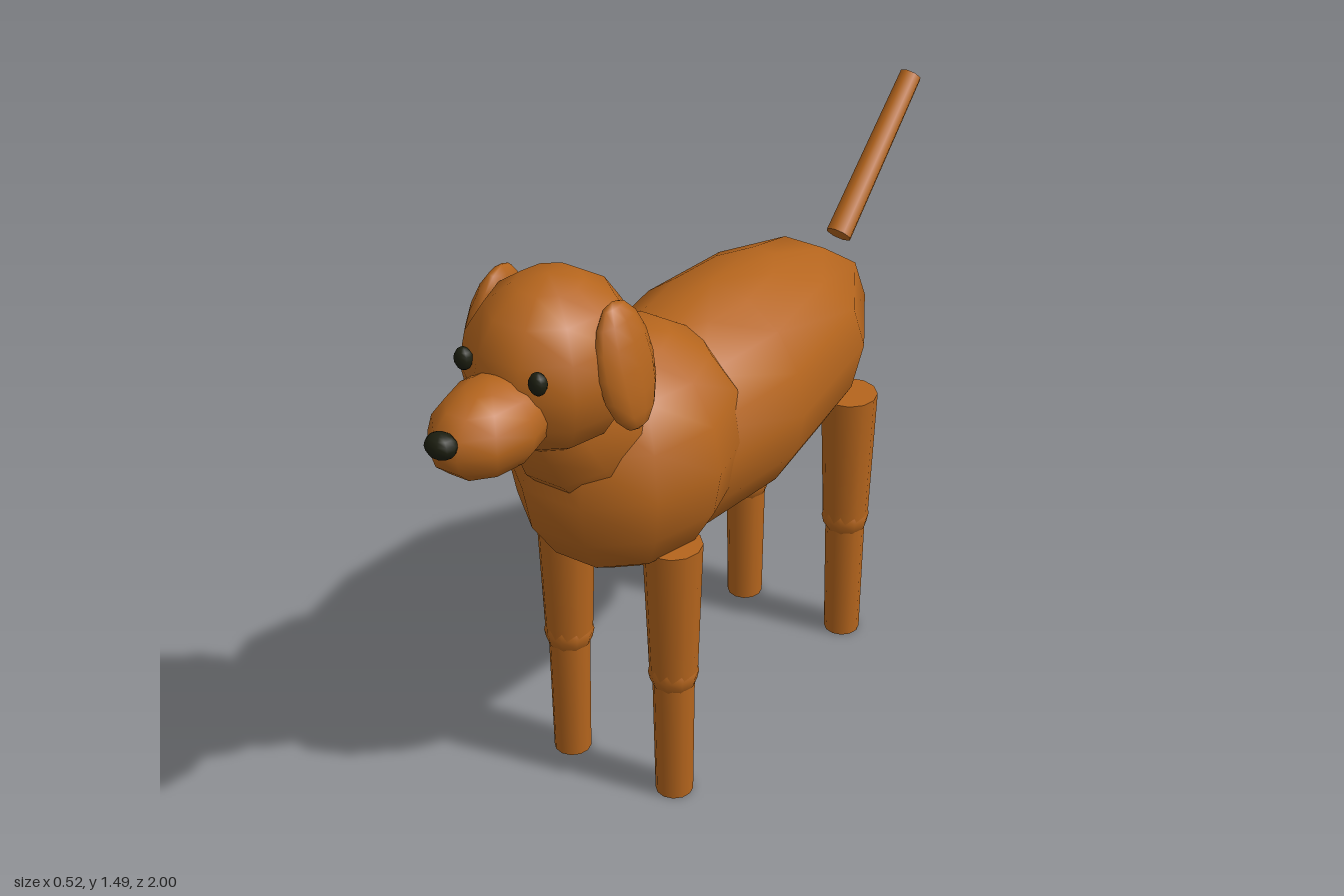
import * as THREE from 'three';

const coat = new THREE.MeshStandardMaterial({ color: 0xb5651d });
coat.name = 'brown coat';
const dark = new THREE.MeshStandardMaterial({ color: 0x1c1e10 });
dark.name = 'dark nose and eyes';

export function createModel() {
  const model = new THREE.Group();
  model.name = 'dog';

  // Low-poly ellipsoid with smooth normals
  const ball = (name, pos, radii, mat = coat, parent = model) => {
    const geo = new THREE.SphereGeometry(1, 10, 8).scale(...radii);
    const mesh = new THREE.Mesh(geo, mat);
    mesh.name = name;
    mesh.position.set(...pos);
    parent.add(mesh);
    return mesh;
  };

  // Tapered cylinder running from point a to point b
  const limb = (name, a, b, ra, rb, sides, parent = model) => {
    const from = new THREE.Vector3(...a);
    const dir = new THREE.Vector3(...b).sub(from);
    const mesh = new THREE.Mesh(new THREE.CylinderGeometry(rb, ra, dir.length(), sides), coat);
    mesh.name = name;
    mesh.position.copy(from).addScaledVector(dir, 0.5);
    mesh.quaternion.setFromUnitVectors(new THREE.Vector3(0, 1, 0), dir.normalize());
    parent.add(mesh);
    return mesh;
  };

  // Trunk and neck
  ball('body', [0, 0.892, -0.05], [0.258, 0.287, 0.62]);
  ball('chest', [0, 0.925, 0.31], [0.258, 0.3, 0.31]);
  ball('neck', [0, 1.09, 0.48], [0.158, 0.23, 0.19]).rotation.x = 0.61;

  // Head
  ball('head', [0, 1.28, 0.585], [0.19, 0.206, 0.212]);
  ball('muzzle', [0, 1.228, 0.8], [0.113, 0.105, 0.175]);
  ball('nose', [0, 1.26, 0.971], [0.038, 0.03, 0.031], dark);

  for (const s of [1, -1]) {
    const side = s > 0 ? 'left' : 'right';
    ball(side + 'Eye', [s * 0.097, 1.335, 0.764], [0.022, 0.027, 0.019], dark);
    // Drooping ear, top tilted inwards
    ball(side + 'Ear', [s * 0.177, 1.305, 0.56], [0.04, 0.149, 0.09]).rotation.z = s * 0.22;

    // Legs: thigh, knee and shin
    for (const [end, z] of [['Front', 0.35], ['Rear', -0.45]]) {
      const leg = new THREE.Group();
      leg.name = side + end + 'Leg';
      leg.position.set(s * 0.152, 0, z);
      limb('upperLeg', [0, 0.355, 0], [0, 0.72, 0], 0.058, 0.071, 12, leg);
      ball('knee', [0, 0.355, 0], [0.061, 0.06, 0.061], coat, leg);
      limb('lowerLeg', [0, 0, 0], [0, 0.36, 0], 0.046, 0.051, 12, leg);
      model.add(leg);
    }
  }

  // Raised tail
  limb('tail', [0, 1.042, -0.635], [0, 1.35, -0.978], 0.034, 0.029, 8);

  return model;
}
